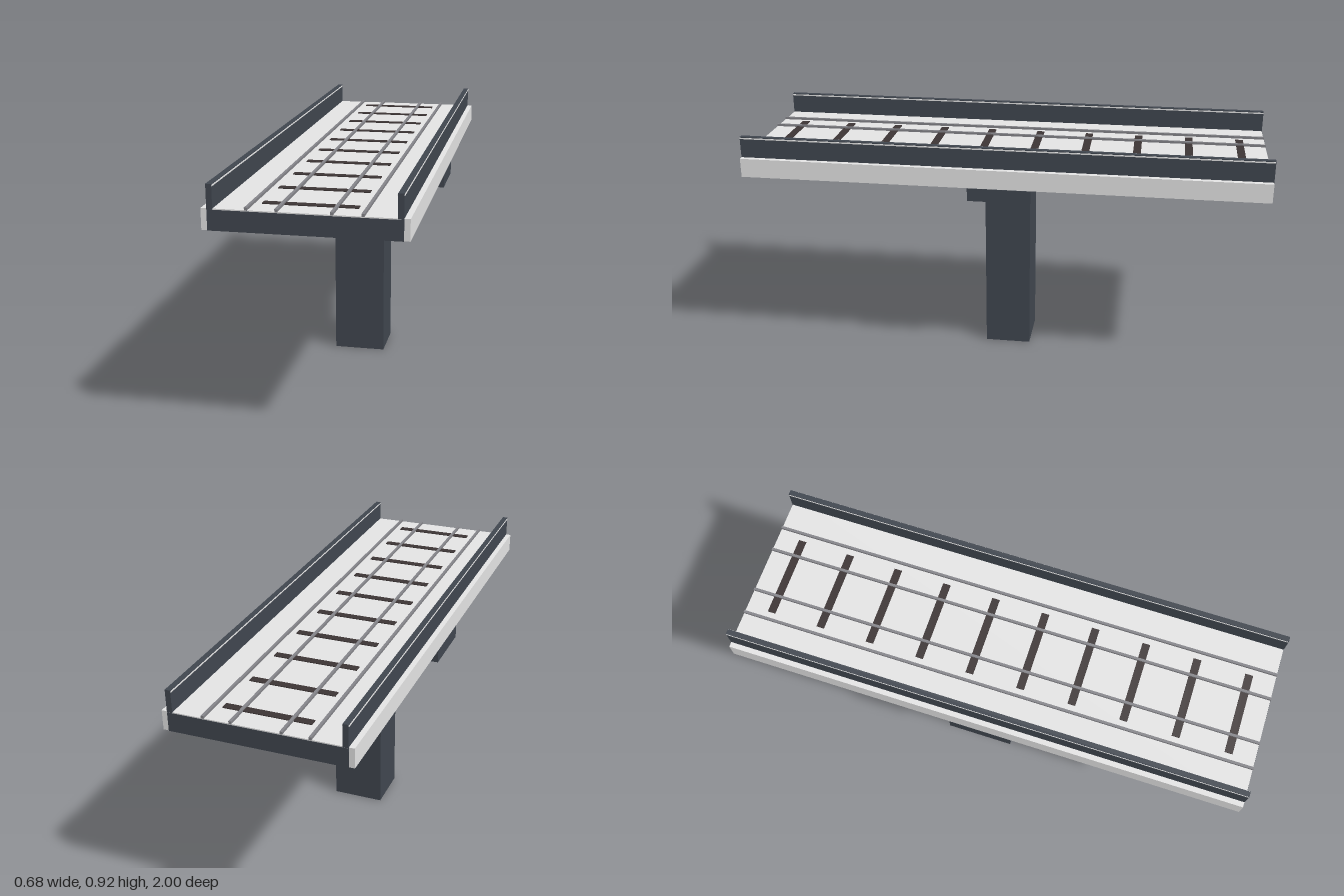
import * as THREE from 'three';

export function createModel() {
  const group = new THREE.Group();
  const material = (name, color) => {
    const m = new THREE.MeshStandardMaterial({ color });
    m.name = name;
    return m;
  };
  const slate = material('dark slate', 0x40464f);
  const concrete = material('light concrete', 0xe4e4e4);
  const steel = material('rail steel', 0x85858a);
  const timber = material('sleeper brown', 0x3d3535);

  // Box from its bottom height, centred on x and z
  const box = (name, mat, w, h, d, x, y, z) => {
    const mesh = new THREE.Mesh(new THREE.BoxGeometry(w, h, d), mat);
    mesh.name = name;
    mesh.position.set(x, y + h / 2, z);
    group.add(mesh);
  };

  // Pier and its wider head
  box('pier', slate, 0.2, 0.715, 0.18, 0, 0, 0);
  box('pierHead', slate, 0.68, 0.05, 0.24, 0, 0.715, 0);

  // Dark girder showing at the ends and underside of the pale deck
  box('deck', concrete, 0.68, 0.073, 1.998, 0, 0.766, 0);
  box('girder', slate, 0.64, 0.07, 2, 0, 0.765, 0);

  // Parapets with a pale strip just below the top edge
  for (const side of [-1, 1]) {
    box('parapet', slate, 0.02, 0.084, 2, side * 0.31, 0.836, 0);
    box('parapetStrip', concrete, 0.023, 0.005, 1.998, side * 0.31, 0.912, 0);
  }

  // Sleepers, nearly flush with the deck
  for (let i = 0; i < 10; i++) {
    box('sleeper', timber, 0.32, 0.003, 0.03, 0, 0.839, -0.9 + i * 0.2);
  }

  // Running rails and outer rails
  for (const x of [-0.19, -0.09, 0.09, 0.19]) {
    box('rail', steel, 0.01, 0.01, 2, x, 0.838, 0);
  }

  return group;
}
